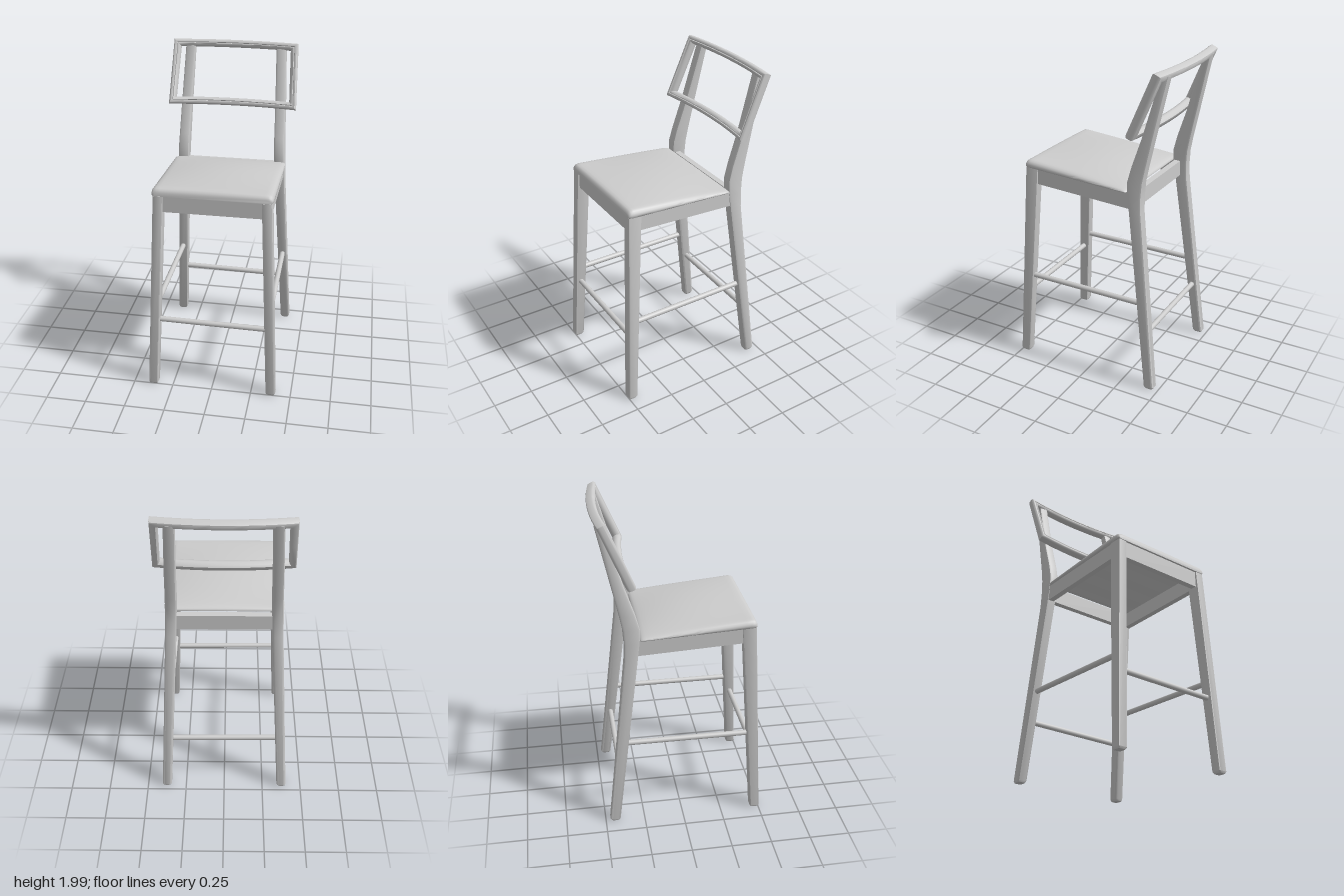
import * as THREE from 'three';
import { toCreasedNormals } from 'three/addons/utils/BufferGeometryUtils.js';

const paint = new THREE.MeshStandardMaterial({ color: 0xcccccc });
paint.name = 'light grey';

// Skin a list of equal-length rings; capped at the ends, or joined into a loop.
function loft(rings, { loop = false, crease = 0.6 } = {}) {
  const n = rings[0].length, m = rings.length, pos = rings.flat(2), idx = [];
  for (let i = 0; i < (loop ? m : m - 1); i++) {
    for (let j = 0; j < n; j++) {
      const k = (j + 1) % n, i2 = (i + 1) % m;
      const a = i * n + j, b = i * n + k, c = i2 * n + k, d = i2 * n + j;
      idx.push(a, b, c, a, c, d);
    }
  }
  if (!loop) {
    const e = (m - 1) * n;
    for (let j = 1; j < n - 1; j++) idx.push(0, j + 1, j, e, e + j, e + j + 1);
  }
  // Signed volume tells whether the faces point outwards
  let volume = 0;
  const p = (i) => new THREE.Vector3().fromArray(pos, i * 3);
  for (let i = 0; i < idx.length; i += 3) volume += p(idx[i]).dot(p(idx[i + 1]).cross(p(idx[i + 2])));
  if (volume < 0) idx.reverse();
  const g = new THREE.BufferGeometry();
  g.setAttribute('position', new THREE.Float32BufferAttribute(pos, 3));
  g.setIndex(idx);
  return toCreasedNormals(g, crease);
}

// Horizontal rectangle with softened corners at height y
function legRing([y, x0, x1, z0, z1], r = 0.008) {
  const ring = [];
  const corners = [[x1 - r, z1 - r], [x0 + r, z1 - r], [x0 + r, z0 + r], [x1 - r, z0 + r]];
  corners.forEach(([cx, cz], q) => {
    for (let s = 0; s <= 2; s++) {
      const t = (q + s / 2) * Math.PI / 2;
      ring.push([cx + r * Math.cos(t), y, cz + r * Math.sin(t)]);
    }
  });
  return ring;
}

const mirrorRings = (rings, side) => rings.map((r) => r.map(([x, y, z]) => [x * side, y, z]));

function add(group, name, geometry) {
  const mesh = new THREE.Mesh(geometry, paint);
  mesh.name = name;
  group.add(mesh);
  return mesh;
}

function addRod(group, name, from, to, radius) {
  const a = new THREE.Vector3(...from), b = new THREE.Vector3(...to);
  const rod = add(group, name, new THREE.CylinderGeometry(radius, radius, a.distanceTo(b), 16));
  rod.position.copy(a).lerp(b, 0.5);
  rod.quaternion.setFromUnitVectors(new THREE.Vector3(0, 1, 0), b.sub(a).normalize());
}

// Domed cushion: rounded cross-sections from back to front
function seatGeometry() {
  const z0 = -0.25, z1 = 0.447, steps = 20, rings = [];
  const stations = [0, 0.006, 0.018, 0.035];
  for (let i = 1; i < steps; i++) stations.push(0.035 + (z1 - z0 - 0.07) * i / steps);
  stations.push(z1 - z0 - 0.035, z1 - z0 - 0.018, z1 - z0 - 0.006, z1 - z0);
  for (const d of stations) {
    const t = d / (z1 - z0), z = z0 + d;
    const edge = Math.min(1, Math.min(d, z1 - z0 - d) / 0.035);
    const round = Math.sqrt(1 - (1 - edge) ** 2);
    const bottom = 1.26 + 0.037 * t;
    const rim = 0.016 + 0.032 * t;
    const half = 0.345 + 0.012 * round;
    const top = bottom + rim * (0.45 + 0.55 * round);
    const dome = 0.038 * Math.sin(Math.PI * t) ** 0.8 * (1 - 0.4 * t);
    const ring = [[-half + 0.006, bottom, z], [-half, bottom + 0.006, z]];
    for (let j = 0; j <= 24; j++) {
      const u = -Math.cos(Math.PI * j / 24);
      const side = Math.min(1, (1 - Math.abs(u)) / 0.09);
      const lip = Math.sqrt(1 - (1 - side) ** 2);
      ring.push([u * half, bottom + (top - bottom) * (0.4 + 0.6 * lip) + dome * (1 - u * u), z]);
    }
    ring.push([half, bottom + 0.006, z], [half - 0.006, bottom, z]);
    rings.push(ring);
  }
  return loft(rings, { crease: 0.8 });
}

// Tilted, bowed rectangular frame with a beaded section and mitred corners
function backFrameGeometry() {
  const b = 0.205, tilt = Math.atan2(0.16, 0.38), c = Math.cos(tilt), s = Math.sin(tilt);
  // Section points: inward offset, forward offset
  const section = [
    [0.008, -0.0265], [0.002, -0.022], [0, -0.012], [0, 0.012], [0.003, 0.021], [0.010, 0.0265],
    [0.019, 0.0265], [0.023, 0.021], [0.027, 0.0255], [0.036, 0.023], [0.043, 0.014],
    [0.046, 0.002], [0.043, -0.014], [0.034, -0.0265],
  ];
  const path = [];
  const n = 16;
  for (let i = 0; i < n; i++) path.push([-1 + 2 * i / n, -1]);
  path.push([1, -1], [1, 0]);
  for (let i = 0; i < n; i++) path.push([1 - 2 * i / n, 1]);
  path.push([-1, 1], [-1, 0]);
  const rings = path.map(([px, py]) => section.map(([u, w]) => {
    const x = px * (0.4 - 0.006 * py - u), v = py * (b - u);
    const sag = 0.032 * (1 - (x / 0.4) ** 2);
    return [x, 1.8 + v * c + w * s, -0.37 - v * s + w * c - sag];
  }));
  return loft(rings, { loop: true, crease: 0.7 });
}

// Rail along z with sloping top and bottom: [z, x0, x1, bottom, top] per end
function railGeometry(ends) {
  return loft(ends.map(([z, x0, x1, y0, y1]) => [[x0, y0, z], [x1, y0, z], [x1, y1, z], [x0, y1, z]]));
}

export function createModel() {
  const model = new THREE.Group();
  model.name = 'barChair';

  // Legs: height, x range, z range
  const frontLeg = [
    [0, 0.352, 0.4, 0.45, 0.499],
    [0.012, 0.345, 0.405, 0.444, 0.505],
    [1.295, 0.289, 0.348, 0.36, 0.445],
  ].map((r) => legRing(r));
  const backLeg = [
    [0, 0.352, 0.4, -0.465, -0.411],
    [0.012, 0.345, 0.405, -0.471, -0.405],
    [1.14, 0.286, 0.351, -0.346, -0.264],
    [1.24, 0.282, 0.348, -0.343, -0.25],
    [1.33, 0.278, 0.344, -0.349, -0.248],
    [1.42, 0.275, 0.34, -0.366, -0.272],
    [1.6, 0.27, 0.335, -0.405, -0.333],
    [1.965, 0.257, 0.32, -0.485, -0.437],
  ].map((r) => legRing(r, 0.014));

  for (const side of [1, -1]) {
    const label = side > 0 ? 'left' : 'right';
    add(model, label + 'FrontLeg', loft(mirrorRings(frontLeg, side)));
    add(model, label + 'BackLeg', loft(mirrorRings(backLeg, side)));
    const apron = railGeometry([
      [0.37, side * 0.305, side * 0.342, 1.195, 1.297],
      [-0.27, side * 0.305, side * 0.342, 1.162, 1.262],
    ]);
    add(model, label + 'Apron', apron);
    addRod(model, label + 'Stretcher', [side * 0.35, 0.56, 0.43], [side * 0.348, 0.56, -0.36], 0.017);
  }

  // Front and back aprons
  add(model, 'frontApron', railGeometry([
    [0.435, -0.3, 0.3, 1.194, 1.296], [0.395, -0.3, 0.3, 1.194, 1.294]]));
  add(model, 'backApron', railGeometry([
    [-0.262, -0.3, 0.3, 1.163, 1.262], [-0.3, -0.3, 0.3, 1.163, 1.26]]));

  // Foot rails
  addRod(model, 'frontStretcher', [-0.34, 0.464, 0.45], [0.34, 0.456, 0.45], 0.017);
  addRod(model, 'backStretcher', [-0.34, 0.376, -0.395], [0.34, 0.366, -0.395], 0.017);

  add(model, 'seat', seatGeometry());
  add(model, 'backFrame', backFrameGeometry());
  return model;
}
